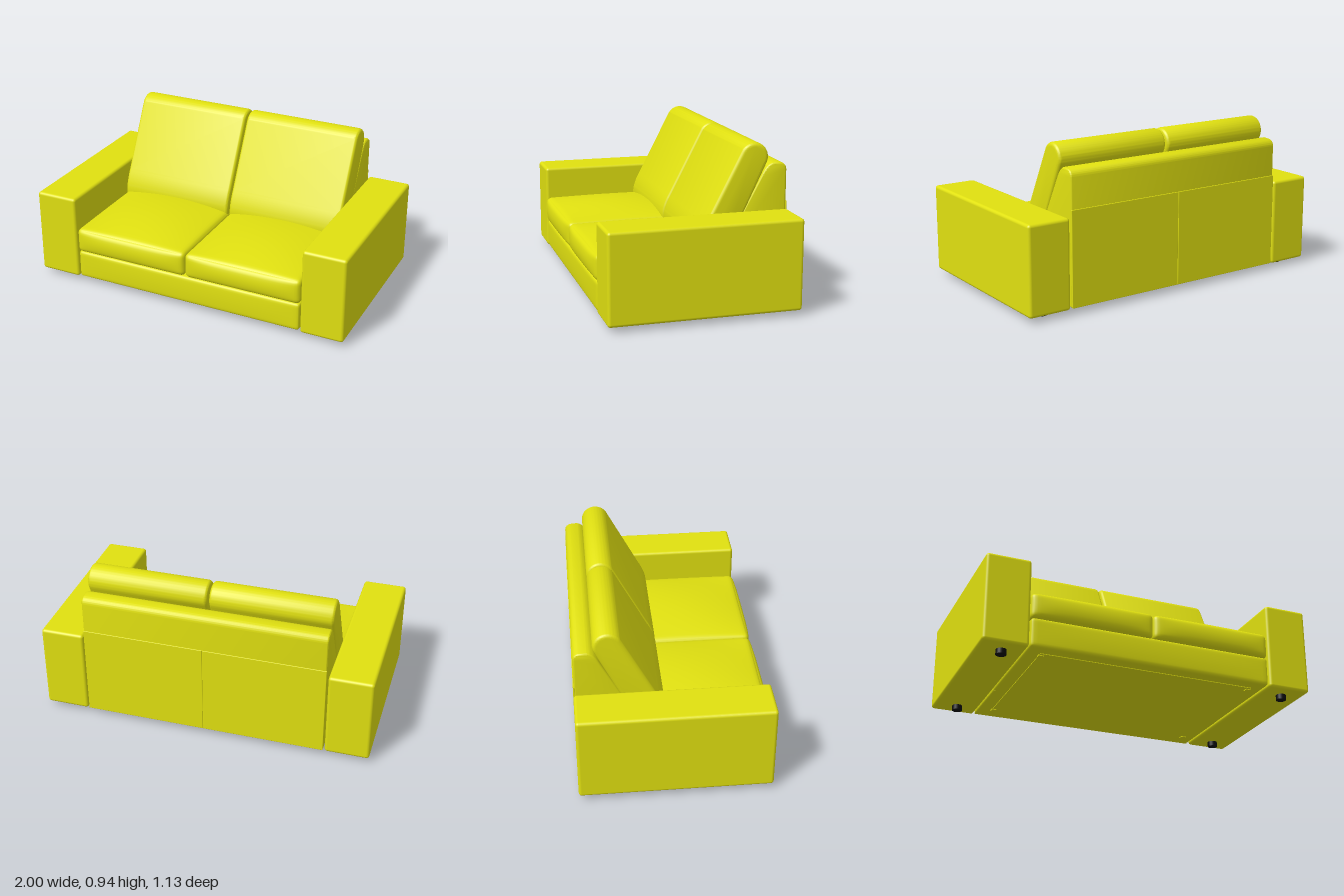
import * as THREE from 'three';
import { mergeVertices, toCreasedNormals } from 'three/addons/utils/BufferGeometryUtils.js';
import { RoundedBoxGeometry } from 'three/addons/geometries/RoundedBoxGeometry.js';

const fabric = new THREE.MeshStandardMaterial({ color: 0xe0e010 });
fabric.name = 'yellow upholstery';
const black = new THREE.MeshStandardMaterial({ color: 0x0c0c0c });
black.name = 'black plastic';

function add(parent, name, geometry, material, x = 0, y = 0, z = 0) {
  const mesh = new THREE.Mesh(geometry, material);
  mesh.name = name;
  mesh.position.set(x, y, z);
  parent.add(mesh);
  return mesh;
}

// Padded box: rounded edges, then a crown on the top and a bulge on the front
function softBox(w, h, d, r, crown, bulge) {
  let g = new THREE.BoxGeometry(2, 2, 2, 28, 16, 28);
  g.deleteAttribute('uv');
  g.deleteAttribute('normal');
  g = mergeVertices(g);
  const half = new THREE.Vector3(w / 2, h / 2, d / 2);
  const inner = half.clone().subScalar(r);
  const lo = inner.clone().negate();
  const pos = g.attributes.position;
  const p = new THREE.Vector3(), core = new THREE.Vector3();
  const ease = (t) => Math.sin(t * Math.PI / 2);
  for (let i = 0; i < pos.count; i++) {
    const u = ease(pos.getX(i)), v = ease(pos.getY(i)), s = ease(pos.getZ(i));
    p.set(u, v, s).multiply(half);
    core.copy(p).clamp(lo, inner);
    p.sub(core).setLength(r).add(core);
    p.y += crown * (1 - u * u) * (1 - s * s) * Math.max(0, v);
    p.z += bulge * (1 - u ** 4) * (1 - v * v) * Math.max(0, s);
    pos.setXYZ(i, p.x, p.y, p.z);
  }
  g.computeVertexNormals();
  return g;
}

// Side profile drawn as (z, y), extruded along x to a total width with round edges
function extrudeAcross(shape, width, bevel) {
  const g = new THREE.ExtrudeGeometry(shape, {
    depth: width - 2 * bevel, bevelEnabled: true, bevelSize: bevel,
    bevelThickness: bevel, bevelSegments: 5, curveSegments: 20,
  });
  g.translate(0, 0, -(width / 2 - bevel));
  g.rotateY(-Math.PI / 2);
  return toCreasedNormals(g, 0.6);
}

// Leaning back cushion with a fully round top
function backCushionShape(bevel) {
  const tilt = 0.48, r = 0.084 - bevel;
  const s = new THREE.Shape();
  s.moveTo(-0.085, 0.3);
  s.quadraticCurveTo(-0.035, 0.37, -0.09 - bevel, 0.50);
  s.absarc(-0.367, 0.855, r, tilt, tilt + Math.PI, false);
  s.lineTo(-0.2, 0.36);
  s.quadraticCurveTo(-0.17, 0.3, -0.13, 0.3);
  s.closePath();
  return s;
}

// Sloping back frame, standing behind the cushions
function backFrameShape() {
  const s = new THREE.Shape();
  s.moveTo(-0.548, 0.05);
  s.lineTo(-0.16, 0.05);
  s.lineTo(-0.16, 0.25);
  s.lineTo(-0.425, 0.745);
  s.quadraticCurveTo(-0.455, 0.805, -0.49, 0.808);
  s.lineTo(-0.525, 0.805);
  s.quadraticCurveTo(-0.548, 0.80, -0.548, 0.775);
  s.closePath();
  return s;
}

export function createModel() {
  const sofa = new THREE.Group();
  sofa.name = 'sofa';

  // Base with padded front rail
  add(sofa, 'base', softBox(1.46, 0.175, 1.09, 0.02, 0, 0.005), fabric, 0, 0.1225, -0.002);
  add(sofa, 'undersidePanel', new THREE.BoxGeometry(1.3, 0.005, 0.94), fabric, 0, 0.0335, 0);

  // Back frame and the two lower panels on its rear
  add(sofa, 'backFrame', extrudeAcross(backFrameShape(), 1.458, 0.014), fabric);

  const cushionBevel = 0.022;
  const cushionGeo = extrudeAcross(backCushionShape(cushionBevel), 0.726, cushionBevel);
  const seatGeo = softBox(0.732, 0.155, 0.82, 0.03, 0.042, 0.018);

  // Piping follows the cushion profile
  const outline = backCushionShape(cushionBevel).getPoints(12)
    .map((p) => new THREE.Vector3(0, p.y, p.x));
  const pipingGeo = new THREE.TubeGeometry(
    new THREE.CatmullRomCurve3(outline.slice(0, -1), true, 'centripetal'), 90, 0.004, 6, true);

  for (const side of [-1, 1]) {
    const label = side > 0 ? 'left' : 'right';
    const half = new THREE.Group();
    half.name = label + 'Half';
    sofa.add(half);

    add(half, label + 'Arm', new RoundedBoxGeometry(0.263, 0.525, 1.11, 4, 0.018), fabric,
      side * 0.8685, 0.2925, -0.01);
    add(half, label + 'SeatCushion', seatGeo, fabric, side * 0.367, 0.2845, 0.137);
    add(half, label + 'BackCushion', cushionGeo, fabric, side * 0.3685);
    for (const edge of [-1, 1]) {
      add(half, label + 'CushionPiping', pipingGeo, fabric, side * 0.3685 + edge * 0.359);
    }
    add(half, label + 'RearPanel', new RoundedBoxGeometry(0.727, 0.56, 0.008, 2, 0.003), fabric,
      side * 0.3645, 0.317, -0.562);

    // Feet under the arms and small pads under the base
    for (const z of [0.442, -0.457]) {
      add(half, label + 'Foot', new THREE.CylinderGeometry(0.03, 0.03, 0.034, 24), black,
        side * 0.865, 0.017, z);
      add(half, label + 'BasePad', new THREE.BoxGeometry(0.03, 0.008, 0.03), fabric,
        side * 0.64, 0.03, Math.sign(z) * 0.44);
    }
  }
  return sofa;
}
